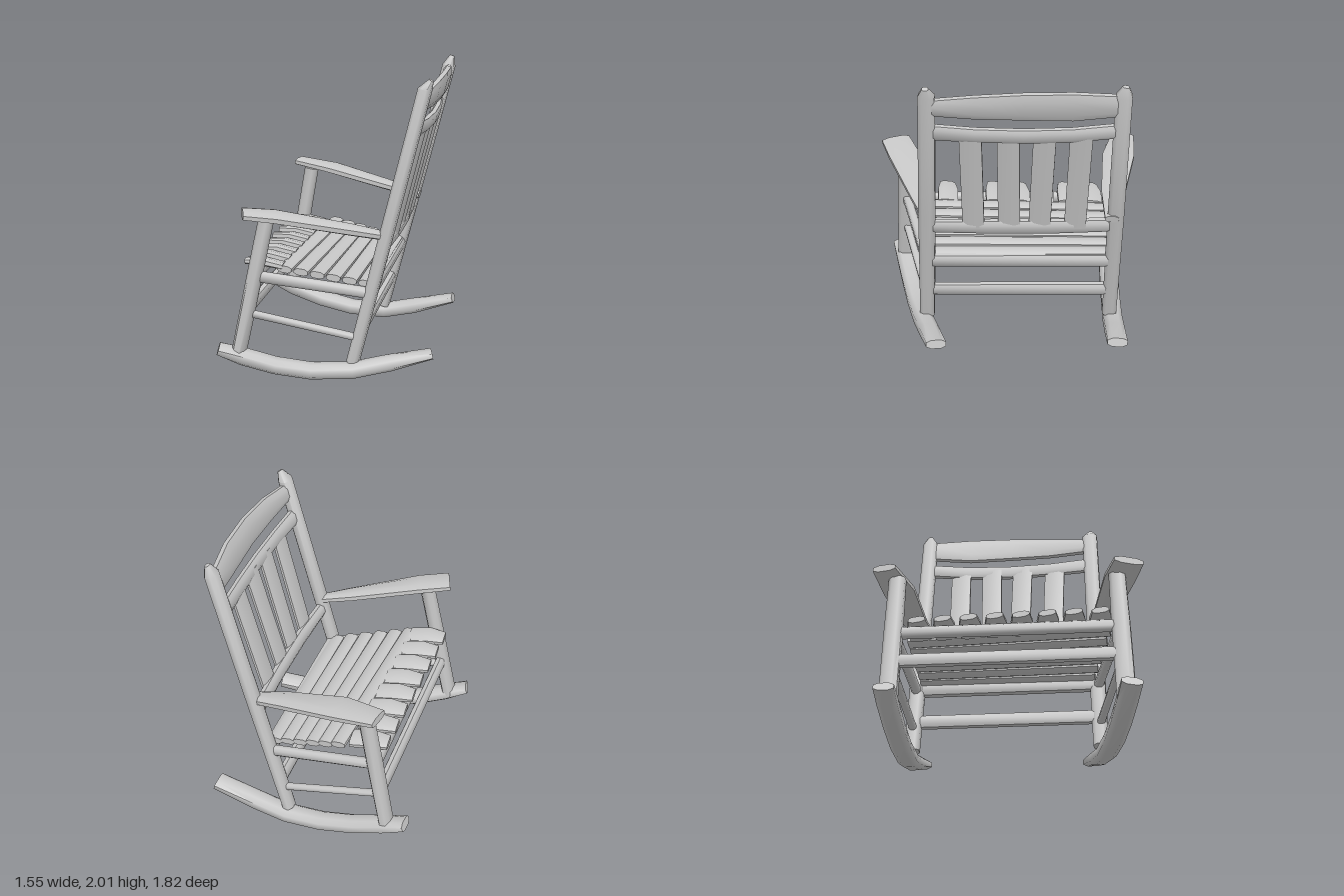
import * as THREE from 'three';
import { toCreasedNormals } from 'three/addons/utils/BufferGeometryUtils.js';

const wood = new THREE.MeshStandardMaterial({ color: 0xc8c8c8 });
wood.name = 'pale wood';

// Chamfered cross-section, half size 1
const SECTION = [[1, -0.5], [1, 0.5], [0.5, 1], [-0.5, 1], [-1, 0.5], [-1, -0.5], [-0.5, -1], [0.5, -1]];
const X = [1, 0, 0], Z = [0, 0, 1], LEAN = [0.247, 1, 0];

// Sweeps the section along stations [x, y, z, width, thickness]; width runs along the side vector
function bar(name, stations, side) {
  const pts = stations.map(s => new THREE.Vector3(s[0], s[1], s[2]));
  const pos = [], index = [], n = SECTION.length, last = pts.length - 1;
  pts.forEach((p, i) => {
    const t = pts[Math.min(i + 1, last)].clone().sub(pts[Math.max(i - 1, 0)]).normalize();
    const s = new THREE.Vector3(...side);
    s.addScaledVector(t, -s.dot(t)).normalize();
    const u = t.clone().cross(s);
    for (const [a, b] of SECTION) {
      const v = p.clone().addScaledVector(s, a * stations[i][3] / 2).addScaledVector(u, b * stations[i][4] / 2);
      pos.push(v.x, v.y, v.z);
    }
  });
  const c0 = pos.length / 3, c1 = c0 + 1;
  for (const p of [pts[0], pts[last]]) pos.push(p.x, p.y, p.z);
  for (let j = 0; j < n; j++) {
    const k = (j + 1) % n;
    for (let i = 0; i < last; i++) {
      const a = i * n + j, b = i * n + k;
      index.push(a, b, b + n, a, b + n, a + n);
    }
    index.push(c0, k, j, c1, last * n + j, last * n + k);
  }
  const g = new THREE.BufferGeometry();
  g.setAttribute('position', new THREE.Float32BufferAttribute(pos, 3));
  g.setIndex(index);
  const mesh = new THREE.Mesh(toCreasedNormals(g, 0.95), wood);
  mesh.name = name;
  return mesh;
}

const mix = (a, b, t) => a.map((v, i) => v + (b[i] - v) * t);

export function createModel() {
  const chair = new THREE.Group();
  chair.name = 'rockingChair';
  const add = (name, stations, side) => chair.add(bar(name, stations, side));

  // The two sides of the skewed frame: +z first, then -z
  const sides = [
    {
      postLow: [0.255, 0.1, 0.495], postHigh: [0.695, 1.93, 0.385], tip: [0.735, 1.99, 0.385],
      legLow: [-0.45, 0.17, 0.77], legHigh: [-0.26, 1.11, 0.71],
      rockerZ: x => 0.82 - (x + 0.56) * 0.355,
      rocker: [[-0.57, 0.215], [-0.42, 0.16], [-0.22, 0.095], [0, 0.055], [0.26, 0.055], [0.5, 0.105], [0.76, 0.165]],
      arm: [[-0.39, 1.14, 0.81, 0.2, 0.05], [-0.2, 1.115, 0.72, 0.21, 0.06], [0.25, 1.015, 0.52, 0.14, 0.06], [0.47, 0.965, 0.43, 0.08, 0.05]],
    },
    {
      postLow: [0.1, 0.1, -0.78], postHigh: [0.56, 1.93, -0.83], tip: [0.58, 2.0, -0.84],
      legLow: [-0.62, 0.18, -0.73], legHigh: [-0.46, 1.13, -0.75],
      rockerZ: x => -0.72 - (x + 0.75) * 0.1,
      rocker: [[-0.75, 0.24], [-0.6, 0.185], [-0.38, 0.11], [-0.15, 0.06], [0.1, 0.05], [0.33, 0.1], [0.62, 0.18]],
      arm: [[-0.58, 1.165, -0.81, 0.16, 0.05], [-0.3, 1.13, -0.79, 0.22, 0.06], [0.1, 1.04, -0.775, 0.16, 0.06], [0.37, 0.975, -0.78, 0.09, 0.05]],
    },
  ];
  const postAt = (s, y) => mix(s.postLow, s.postHigh, (y - s.postLow[1]) / (s.postHigh[1] - s.postLow[1]));
  const legAt = (s, y) => mix(s.legLow, s.legHigh, (y - s.legLow[1]) / (s.legHigh[1] - s.legLow[1]));
  const [A, B] = sides;

  for (const s of sides) {
    // Uprights, with pointed tops on the back posts
    add('backPost', [[...s.postLow, 0.1, 0.08], [...postAt(s, 1), 0.11, 0.085], [...s.postHigh, 0.105, 0.085], [...s.tip, 0.04, 0.03]], Z);
    add('frontLeg', [[...s.legLow, 0.12, 0.085], [...legAt(s, 0.7), 0.12, 0.09], [...s.legHigh, 0.11, 0.09]], Z);

    // Curved runner
    add('rocker', s.rocker.map(([x, y], i) => [x, y, s.rockerZ(x), 0.135, i === 0 || i === 6 ? 0.06 : 0.1]), Z);

    // Armrest
    add('armrest', s.arm, Z);

    // Side rail under the seat and side stretcher below it
    add('seatSideRail', [[...legAt(s, 0.71), 0.06, 0.07], [...postAt(s, 0.58), 0.06, 0.07]], Z);
    add('sideStretcher', [[...legAt(s, 0.46), 0.05, 0.045], [...postAt(s, 0.27), 0.05, 0.045]], Z);
  }

  // Rails across the front and back
  const cross = (name, a, b, h, d) => add(name, [[...a, h, d], [...b, h, d]], LEAN);
  cross('frontSeatRail', legAt(A, 0.7), legAt(B, 0.7), 0.08, 0.06);
  cross('frontStretcher', legAt(A, 0.485), legAt(B, 0.485), 0.09, 0.06);
  cross('backSeatRail', postAt(A, 0.595), postAt(B, 0.595), 0.1, 0.07);
  cross('backStretcher', postAt(A, 0.33), postAt(B, 0.33), 0.095, 0.06);

  // Bowed back rails: heights across the width, middle pushed backwards
  const backRail = (name, y, bow, rows, d) => {
    const a = postAt(A, y), b = postAt(B, y);
    add(name, rows.map(([dy, h], i) => {
      const t = i / (rows.length - 1), p = mix(a, b, t);
      return [p[0] + bow * 4 * t * (1 - t), p[1] + dy, p[2], h, d];
    }), LEAN);
  };
  backRail('lowerBackRail', 0.9, 0.02, [[-0.005, 0.09], [0, 0.105], [0, 0.105], [0.005, 0.1]], 0.06);
  backRail('upperBackRail', 1.66, 0.035, [[0, 0.11], [-0.01, 0.1], [-0.015, 0.1], [-0.01, 0.1], [0.01, 0.1]], 0.055);
  backRail('crestRail', 1.86, 0.045, [[-0.015, 0.11], [0, 0.165], [0.01, 0.19], [0.005, 0.2], [0, 0.15]], 0.06);

  // Upright back slats
  [[0.135, 0.125], [-0.1, -0.115], [-0.3, -0.345], [-0.535, -0.575]].forEach(([z0, z1]) => {
    const at = (y, z) => {
      const a = postAt(A, y), b = postAt(B, y), t = (z - a[2]) / (b[2] - a[2]);
      return [a[0] + (b[0] - a[0]) * t + 0.025, y, z, 0.145, 0.035];
    };
    add('backSlat', [at(0.9, z0), at(1.66, z1)], Z);
  });

  // Long seat slats running across the chair, stepping down to the back
  for (let k = 0; k < 6; k++) {
    const y = 0.742 - 0.021 * k;
    add('seatSlat', [
      [-0.17 + 0.1 * k, y, 0.64 - 0.037 * k, 0.095, 0.045],
      [-0.25 + 0.09 * k, y + 0.005, -0.72 - 0.008 * k, 0.095, 0.045],
    ], [1, -0.12, 0]);
  }

  // Short slats along the front edge
  for (let i = 0; i < 8; i++) {
    const t = i / 7, z = -0.6 + 1.2 * t, x = -0.555 + 0.11 * t;
    add('frontSeatSlat', [
      [x, 0.775, z + 0.02, 0.11, 0.04],
      [x + 0.12, 0.775, z, 0.145, 0.055],
      [x + 0.25, 0.75, z - 0.02, 0.14, 0.045],
    ], [0, 0.15, 1]);
  }
  return chair;
}
